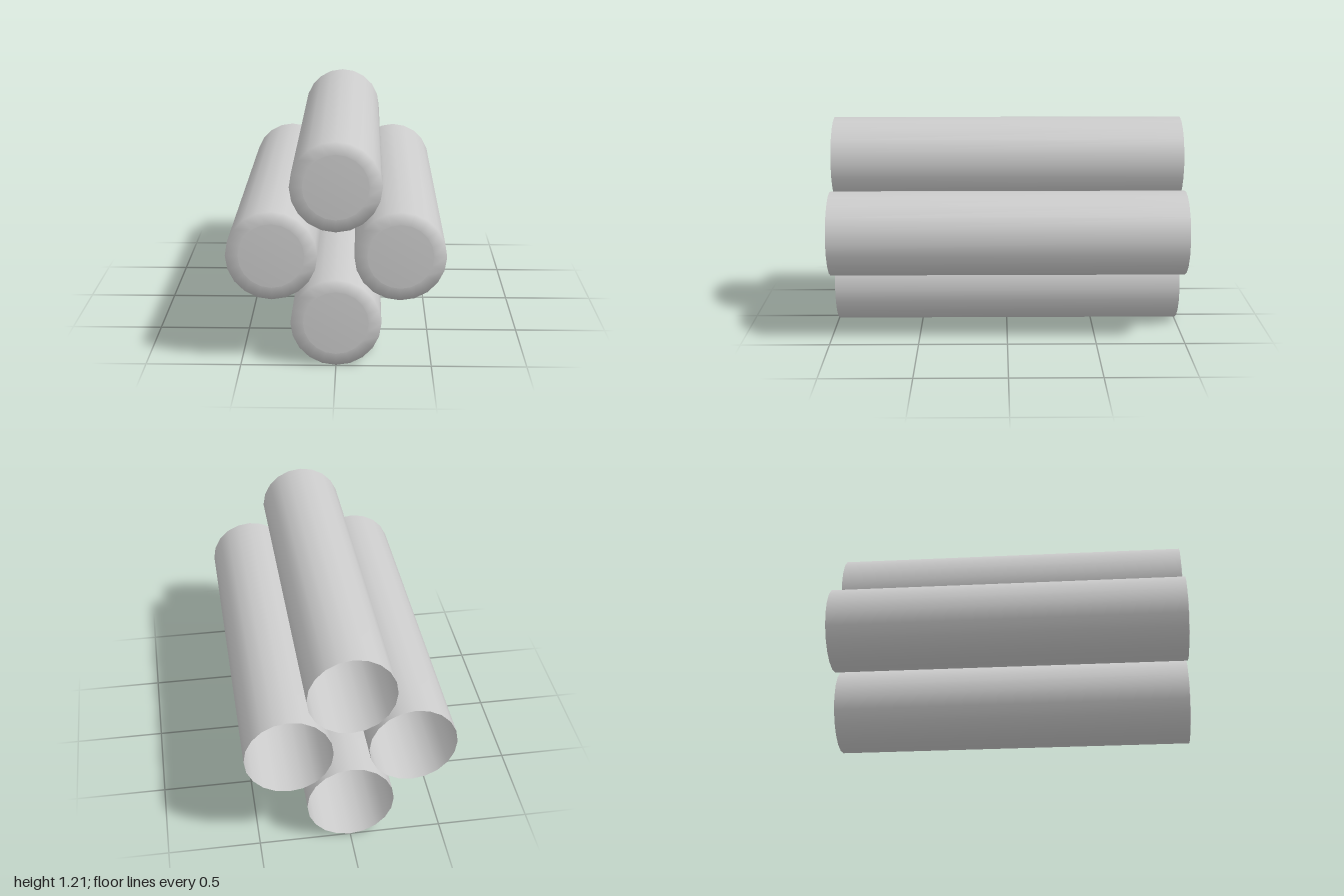
import * as THREE from 'three';

const RADIUS = 0.237, CAP_RADIUS = 0.171, SIDES = 20;
const CENTRE_Y = 0.606, FRONT = 0.993;

export function createModel() {
  const group = new THREE.Group();
  group.name = 'tubeCluster';
  const material = new THREE.MeshStandardMaterial({ color: 0xcccccc, side: THREE.DoubleSide });

  // Thin shell open at the back, closed in front by a rim and a slightly raised round cap
  const profile = [
    [RADIUS, -1], [RADIUS, FRONT], [CAP_RADIUS, FRONT], [CAP_RADIUS, 1], [0, 1],
  ].map(([r, z]) => new THREE.Vector2(r, z));
  const tube = new THREE.LatheGeometry(profile, SIDES).rotateX(Math.PI / 2);

  // Four tubes in a diamond
  const places = {
    topTube: [0, 0.366],
    bottomTube: [0, -0.366],
    leftTube: [0.332, 0],
    rightTube: [-0.332, 0],
  };
  for (const [name, [x, y]] of Object.entries(places)) {
    const mesh = new THREE.Mesh(tube, material);
    mesh.name = name;
    mesh.position.set(x, CENTRE_Y + y, 0);
    group.add(mesh);
  }
  return group;
}
